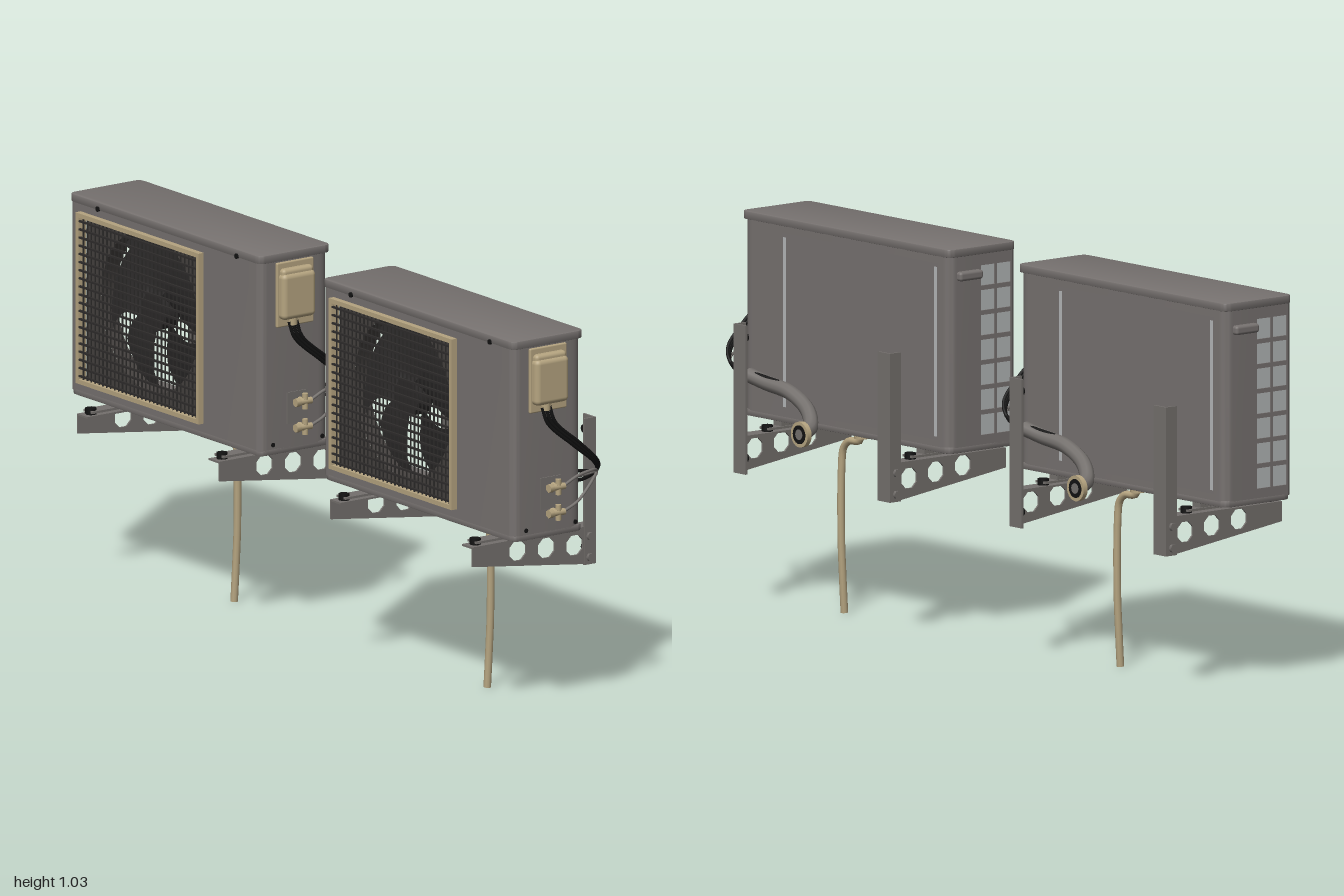
import * as THREE from 'three';
import { toCreasedNormals } from 'three/addons/utils/BufferGeometryUtils.js';
import { RoundedBoxGeometry } from 'three/addons/geometries/RoundedBoxGeometry.js';

const flat = (name, color, side = THREE.FrontSide) => {
  const m = new THREE.MeshStandardMaterial({ color, side });
  m.name = name;
  return m;
};
const M = {
  body: flat('cabinetGrey', 0x777270),
  steel: flat('bracketGrey', 0x74706d),
  coil: flat('coilGrey', 0xb4b7b8),
  tan: flat('tanPlastic', 0xb5a480),
  shroud: flat('shroudGrey', 0x45413f, THREE.DoubleSide),
  fan: flat('fanDark', 0x2b2929, THREE.DoubleSide),
  wire: flat('wireDark', 0x2e2c2b),
  cable: flat('cableBlack', 0x121212),
};

const V = (a) => new THREE.Vector3(...a);
function add(parent, name, geometry, material, x = 0, y = 0, z = 0) {
  const m = new THREE.Mesh(geometry, material);
  m.name = name;
  m.position.set(x, y, z);
  parent.add(m);
  return m;
}
// box given by its min and max corners
function box(parent, name, mat, a, b) {
  return add(parent, name, new THREE.BoxGeometry(b[0] - a[0], b[1] - a[1], b[2] - a[2]), mat,
    (a[0] + b[0]) / 2, (a[1] + b[1]) / 2, (a[2] + b[2]) / 2);
}
function tube(parent, name, mat, points, r, seg = 32) {
  return add(parent, name, new THREE.TubeGeometry(new THREE.CatmullRomCurve3(points.map(V)), seg, r, 10), mat);
}
function rod(parent, name, mat, r, len, axis, p, sides = 12) {
  const m = add(parent, name, new THREE.CylinderGeometry(r, r, len, sides), mat, ...p);
  if (axis === 'x') m.rotation.z = -Math.PI / 2;
  if (axis === 'z') m.rotation.x = Math.PI / 2;
  return m;
}
function rect(Type, x0, y0, x1, y1) {
  const s = new Type();
  s.moveTo(x0, y0); s.lineTo(x1, y0); s.lineTo(x1, y1); s.lineTo(x0, y1); s.closePath();
  return s;
}
// rounded slab seen in plan
function slab(x0, x1, z0, z1, r, h) {
  const s = new THREE.Shape();
  s.moveTo(x0 + r, -z1); s.lineTo(x1 - r, -z1); s.quadraticCurveTo(x1, -z1, x1, -z1 + r);
  s.lineTo(x1, -z0 - r); s.quadraticCurveTo(x1, -z0, x1 - r, -z0);
  s.lineTo(x0 + r, -z0); s.quadraticCurveTo(x0, -z0, x0, -z0 - r);
  s.lineTo(x0, -z1 + r); s.quadraticCurveTo(x0, -z1, x0 + r, -z1);
  const g = new THREE.ExtrudeGeometry(s, { depth: h - 0.006, bevelThickness: 0.003, bevelSize: 0.003, bevelOffset: -0.003, bevelSegments: 2, curveSegments: 8 });
  g.rotateX(-Math.PI / 2);
  g.translate(0, 0.003, 0);
  return toCreasedNormals(g, 0.6);
}
// one-sided sheet following a plan path of (x, z)
function wall(path, y0, y1) {
  const pts = path.getPoints(8), pos = [];
  for (let i = 0; i < pts.length - 1; i++) {
    const a = pts[i], b = pts[i + 1];
    pos.push(a.x, y0, a.y, b.x, y0, b.y, b.x, y1, b.y, a.x, y0, a.y, b.x, y1, b.y, a.x, y1, a.y);
  }
  const g = new THREE.BufferGeometry();
  g.setAttribute('position', new THREE.Float32BufferAttribute(pos, 3));
  return toCreasedNormals(g, 0.6);
}

function cabinet(unit) {
  const g = new THREE.Group();
  g.name = 'cabinet';
  unit.add(g);
  add(g, 'lid', slab(-0.42, 0.42, -0.078, 0.155, 0.022, 0.022), M.body, 0, 1.008, 0);
  add(g, 'basePan', slab(-0.417, 0.417, -0.076, 0.15, 0.022, 0.018), M.body, 0, 0.488, 0);

  // service side wraps from the front panel round to the back
  const p = new THREE.Path();
  p.moveTo(0.167, 0.15); p.lineTo(0.395, 0.15); p.quadraticCurveTo(0.417, 0.15, 0.417, 0.128);
  p.lineTo(0.417, -0.036); p.quadraticCurveTo(0.417, -0.076, 0.377, -0.076);
  p.lineTo(-0.39, -0.076); p.quadraticCurveTo(-0.417, -0.076, -0.417, -0.049); p.lineTo(-0.417, 0.025);
  add(g, 'wrapPanel', wall(p, 0.5, 1.012), M.body);
  const q = new THREE.Path();
  q.moveTo(-0.417, 0.14); q.quadraticCurveTo(-0.417, 0.15, -0.4, 0.15); q.lineTo(-0.373, 0.15);
  add(g, 'frontCorner', wall(q, 0.5, 1.012), M.body);
  box(g, 'frontTopStrip', M.body, [-0.373, 0.982, 0.13], [0.167, 1.012, 0.15]);
  box(g, 'frontBottomStrip', M.body, [-0.373, 0.5, 0.13], [0.167, 0.53, 0.15]);

  // air intake openings in the end panel, with the coil behind
  const end = rect(THREE.Shape, -0.14, 0.5, -0.025, 1.012);
  for (let r = 0; r < 7; r++) for (let c = 0; c < 2; c++) {
    const x = -0.136 + c * 0.055, y = 0.528 + r * 0.066;
    end.holes.push(rect(THREE.Path, x, y, x + 0.047, y + 0.054));
  }
  const eg = new THREE.ExtrudeGeometry(end, { depth: 0.004, bevelEnabled: false });
  eg.rotateY(Math.PI / 2);
  add(g, 'intakePanel', eg, M.body, -0.417, 0, 0);
  const coil = add(g, 'endCoil', new THREE.PlaneGeometry(0.115, 0.5), M.coil, -0.412, 0.756, 0.083);
  coil.rotation.y = -Math.PI / 2;
  add(g, 'endHandle', new RoundedBoxGeometry(0.025, 0.025, 0.08, 2, 0.008), M.body, -0.421, 0.957, -0.01);

  // back coil guard with light slots along its edges
  const guard = add(g, 'backCoilGuard', new THREE.PlaneGeometry(0.63, 0.47), M.body, -0.06, 0.755, -0.0775);
  guard.rotation.y = Math.PI;
  for (const x of [-0.365, 0.243]) {
    const s = add(g, 'coilSlot', new THREE.PlaneGeometry(0.012, 0.45), M.coil, x, 0.755, -0.0785);
    s.rotation.y = Math.PI;
  }
  for (const x of [-0.29, 0.32]) rod(g, 'lidScrew', M.cable, 0.007, 0.006, 'z', [x, 1.012, 0.156]);
}

function fanFront(unit) {
  const g = new THREE.Group();
  g.name = 'fanFront';
  unit.add(g);
  const cx = -0.103, cy = 0.768, R = 0.214;
  const plate = rect(THREE.Shape, -0.373, 0.525, 0.167, 0.99);
  const hole = new THREE.Path();
  hole.absarc(cx, cy, R, 0, Math.PI * 2, true);
  plate.holes.push(hole);
  add(g, 'shroudPlate', new THREE.ShapeGeometry(plate, 40), M.shroud, 0, 0, 0.125);
  const ring = add(g, 'shroudRing', new THREE.CylinderGeometry(R, R, 0.05, 48, 1, true), M.shroud, cx, cy, 0.1);
  ring.rotation.x = Math.PI / 2;

  // five broad, pitched blades with gently curved edges
  for (let k = 0; k < 5; k++) {
    const b = new THREE.PlaneGeometry(1, 1, 8, 8), pos = b.attributes.position;
    for (let i = 0; i < pos.count; i++) {
      const u = pos.getX(i) + 0.5, v = pos.getY(i) + 0.5, r = 0.03 + v * 0.176;
      const a = 1.22 + k * Math.PI * 0.4 - 0.25 * Math.sin(Math.PI * v) + u * (1.18 - 0.08 * v);
      pos.setXYZ(i, r * Math.cos(a), r * Math.sin(a), (u - 0.5) * 0.035);
    }
    b.computeVertexNormals();
    add(g, 'fanBlade', b, M.fan, cx, cy, 0.09);
  }
  rod(g, 'fanHub', M.fan, 0.05, 0.05, 'z', [cx, cy, 0.09], 24);

  // tan frame and wire guard
  const frame = rect(THREE.Shape, -0.373, 0.527, 0.167, 0.988);
  frame.holes.push(rect(THREE.Path, -0.361, 0.539, 0.155, 0.976));
  add(g, 'guardFrame', new THREE.ExtrudeGeometry(frame, { depth: 0.025, bevelEnabled: false }), M.tan, 0, 0, 0.142);
  for (let i = 0; i < 20; i++) {
    const y = 0.548 + i * 0.022;
    box(g, 'guardWireAcross', M.wire, [-0.361, y - 0.0025, 0.16], [0.155, y + 0.0025, 0.166]);
  }
  for (let i = 0; i < 30; i++) {
    const x = -0.35 + i * 0.0171;
    box(g, 'guardWireUpright', M.wire, [x - 0.001, 0.539, 0.156], [x + 0.001, 0.976, 0.16]);
  }
}

function serviceSide(unit) {
  const g = new THREE.Group();
  g.name = 'serviceSide';
  unit.add(g);
  add(g, 'coverPlate', new RoundedBoxGeometry(0.01, 0.175, 0.12, 2, 0.004), M.tan, 0.42, 0.918, 0.042);
  add(g, 'terminalCover', new RoundedBoxGeometry(0.036, 0.125, 0.108, 4, 0.014), M.tan, 0.43, 0.915, 0.043);
  add(g, 'coverHood', new RoundedBoxGeometry(0.026, 0.045, 0.1, 3, 0.01), M.tan, 0.428, 0.967, 0.043);
  rod(g, 'cableGland', M.tan, 0.012, 0.025, 'y', [0.43, 0.848, 0.055]);

  // power cables to the wall duct
  for (let i = 0; i < 3; i++) {
    const o = (i - 1) * 0.012;
    tube(g, 'powerCable', M.cable, [[0.43, 0.845, 0.055 + o], [0.434, 0.8, 0.04 + o], [0.438, 0.73, -0.04 + o],
      [0.425, 0.67, -0.112 + o * 0.5], [0.39, 0.635, -0.138], [0.33, 0.61 + o, -0.133], [0.22, 0.592 + o, -0.116]], 0.0048, 40);
  }
  // service valves and their pipes
  box(g, 'valvePlate', M.steel, [0.415, 0.565, 0], [0.42, 0.65, 0.065]);
  for (const [y, endY] of [[0.625, 0.65], [0.556, 0.625]]) {
    rod(g, 'valveStem', M.tan, 0.009, 0.032, 'x', [0.43, y, 0.025]);
    rod(g, 'valveBody', M.tan, 0.009, 0.045, 'z', [0.44, y, 0.025]);
    rod(g, 'valveCap', M.tan, 0.012, 0.014, 'z', [0.44, y, 0.047], 6);
    rod(g, 'valvePort', M.tan, 0.008, 0.042, 'y', [0.44, y, 0.022]);
    tube(g, 'refrigerantPipe', M.steel, [[0.44, y, 0.005], [0.44, y + 0.02, -0.04], [0.428, endY, -0.1], [0.39, 0.632, -0.136], [0.32, 0.605, -0.125]], 0.0042);
  }
  // lagged duct into the wall, closed by a ringed cap
  tube(g, 'wallDuct', M.steel, [[0.33, 0.61, -0.128], [0.27, 0.595, -0.118], [0.18, 0.58, -0.113], [0.1, 0.545, -0.122], [0.05, 0.508, -0.155], [0.036, 0.497, -0.2]], 0.02, 40);
  rod(g, 'wallCap', M.tan, 0.034, 0.014, 'z', [0.036, 0.497, -0.198], 24);
  rod(g, 'capOpening', M.cable, 0.025, 0.004, 'z', [0.036, 0.497, -0.204], 24);
  rod(g, 'capCore', M.steel, 0.014, 0.004, 'z', [0.036, 0.497, -0.205], 16);
  for (const z of [0.11, -0.05]) rod(g, 'panelScrew', M.cable, 0.006, 0.006, 'x', [0.416, 0.515, z]);
}

function bracket(unit, mirror) {
  const g = new THREE.Group();
  g.name = 'wallBracket';
  g.scale.x = mirror;
  unit.add(g);
  // tapered arm with octagonal holes
  const s = new THREE.Shape([[-0.207, 0.463], [-0.207, 0.41], [0.16, 0.362], [0.16, 0.463]].map(([x, y]) => new THREE.Vector2(x, y)));
  for (const [z, y] of [[0.06, 0.432], [-0.033, 0.425], [-0.125, 0.418]]) {
    const h = new THREE.Path();
    for (let i = 0; i < 8; i++) {
      const a = -(i + 0.5) * Math.PI / 4;
      h[i ? 'lineTo' : 'moveTo'](-z + 0.029 * Math.cos(a), y + 0.029 * Math.sin(a));
    }
    h.closePath();
    s.holes.push(h);
  }
  const web = new THREE.ExtrudeGeometry(s, { depth: 0.005, bevelEnabled: false });
  web.rotateY(Math.PI / 2);
  add(g, 'armWeb', web, M.steel, 0.308, 0, 0);
  box(g, 'armFlange', M.steel, [0.266, 0.458, -0.19], [0.312, 0.463, 0.207]);
  box(g, 'postWeb', M.steel, [0.309, 0.36, -0.193], [0.315, 0.755, -0.155]);
  box(g, 'postFlange', M.steel, [0.266, 0.36, -0.193], [0.314, 0.755, -0.187]);
  for (const y of [0.437, 0.38]) rod(g, 'postBolt', M.steel, 0.011, 0.01, 'x', [0.318, y, -0.172], 6);
  for (const y of [0.4, 0.72]) rod(g, 'anchorBolt', M.cable, 0.012, 0.016, 'z', [0.288, y, -0.18], 8);
  // mounting foot
  box(g, 'footBar', M.steel, [0.268, 0.468, -0.11], [0.308, 0.474, 0.19]);
  box(g, 'footRiser', M.steel, [0.272, 0.473, -0.065], [0.304, 0.49, 0.105]);
  for (const z of [0.18, -0.1]) rod(g, 'footBolt', M.cable, 0.015, 0.018, 'y', [0.288, 0.471, z], 8);
}

function outdoorUnit(x) {
  const unit = new THREE.Group();
  unit.name = 'outdoorUnit';
  unit.position.x = x;
  cabinet(unit);
  fanFront(unit);
  serviceSide(unit);
  bracket(unit, 1);
  bracket(unit, -1);
  // drain elbow and hanging hose
  rod(unit, 'drainSpigot', M.tan, 0.02, 0.018, 'y', [-0.005, 0.482, -0.025], 16);
  tube(unit, 'drainHose', M.tan, [[-0.005, 0.485, -0.025], [0.005, 0.465, -0.025], [0.045, 0.46, -0.026], [0.066, 0.44, -0.027],
    [0.073, 0.38, -0.028], [0.074, 0.2, -0.028], [0.072, 0.1, -0.025], [0.071, 0.001, -0.02]], 0.01, 48);
  return unit;
}

export function createModel() {
  const model = new THREE.Group();
  model.name = 'outdoorUnits';
  model.add(outdoorUnit(-0.566), outdoorUnit(0.546));
  return model;
}
